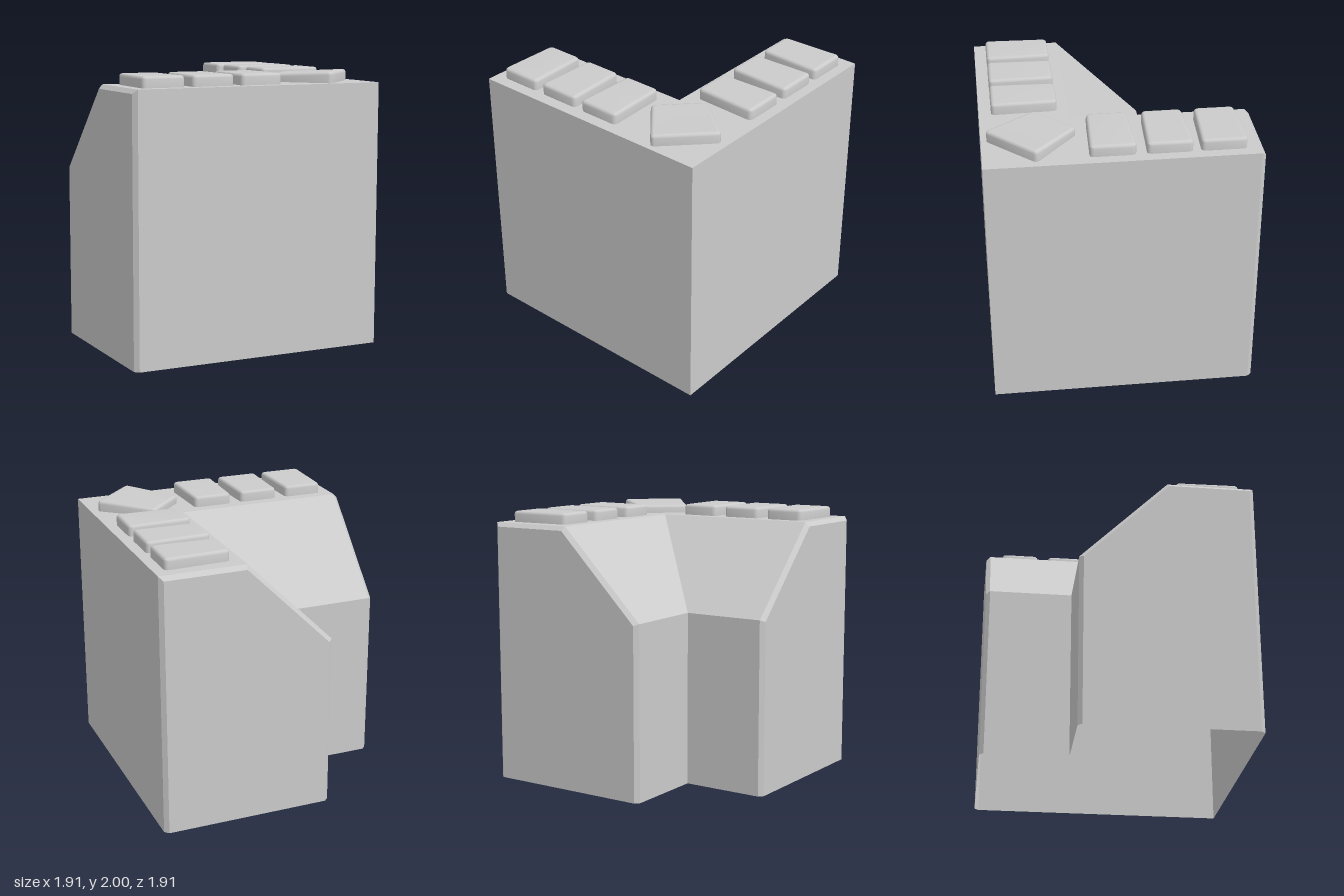
import * as THREE from 'three';
import { toCreasedNormals } from 'three/addons/utils/BufferGeometryUtils.js';

const TOP = 1.92;    // wall top
const OUT = 0.955;   // outer faces and arm ends
const IN = 0.32;     // inner edge of the top / foot of the slope
const BEVEL = 0.03;  // chamfer around the arm ends

// Skin a surface over rings of [x, y, z] points, optionally closing each ring and capping its ends
function skin(rings, { closed = false, capFirst = false, capLast = true, crease = 0.3 } = {}) {
  const pos = [];
  const tri = (...points) => points.forEach((p) => pos.push(...p));
  const n = rings[0].length;
  for (let r = 0; r < rings.length - 1; r++) {
    for (let i = 0; i < (closed ? n : n - 1); i++) {
      const j = (i + 1) % n;
      const a = rings[r][i], b = rings[r][j], c = rings[r + 1][i], d = rings[r + 1][j];
      tri(a, c, b);
      tri(b, c, d);
    }
  }
  const first = rings[0], last = rings[rings.length - 1];
  for (let i = 1; i < n - 1; i++) {
    if (capFirst) tri(first[0], first[i], first[i + 1]);
    if (capLast) tri(last[0], last[i + 1], last[i]);
  }
  const geometry = new THREE.BufferGeometry();
  geometry.setAttribute('position', new THREE.Float32BufferAttribute(pos, 3));
  return toCreasedNormals(geometry, crease);
}

// Hollow corner wall, open below: one profile swept along both arms with a mitre at the corner
function wallGeometry() {
  const low = TOP - 2 * IN;
  const shift = BEVEL * Math.tan(Math.PI / 8);
  const full = [[OUT, 0], [OUT, TOP], [IN, TOP], [-IN, low], [-IN, 0]];
  const inset = [
    [OUT - BEVEL, 0], [OUT - BEVEL, TOP - BEVEL], [IN + shift, TOP - BEVEL],
    [-IN + BEVEL, low - shift], [-IN + BEVEL, 0],
  ];
  const alongX = (profile, x) => profile.map(([d, y]) => [x, y, d]);
  const alongZ = (profile, z) => profile.map(([d, y]) => [d, y, z]);
  return skin([
    alongX(inset, -OUT),
    alongX(full, -OUT + BEVEL),
    full.map(([d, y]) => [d, y, d]),
    alongZ(full, -OUT + BEVEL),
    alongZ(inset, -OUT),
  ], { capFirst: true });
}

// Cushioned stone on a four-cornered plan (x, z clockwise from above) with a top height per corner
function stoneGeometry(corners, tops) {
  const R = 0.03, soft = 0.022, steps = 3;
  const pts = corners.map(([x, z]) => new THREE.Vector2(x, z));
  const ring = (insetBy, height) => pts.flatMap((c, k) => {
    const u = pts[(k + 3) % 4].clone().sub(c).normalize();
    const v = pts[(k + 1) % 4].clone().sub(c).normalize();
    return Array.from({ length: steps + 1 }, (_, s) => {
      const t = (s / steps) * Math.PI / 2;
      const p = c.clone().addScaledVector(u, R).addScaledVector(v, R)
        .addScaledVector(v, -(R - insetBy) * Math.cos(t))
        .addScaledVector(u, -(R - insetBy) * Math.sin(t));
      return [p.x, height(tops[k]), p.y];
    });
  });
  const rings = [ring(0, () => TOP)];
  for (let s = 0; s <= steps; s++) {
    const t = (s / steps) * Math.PI / 2;
    rings.push(ring(soft * (1 - Math.cos(t)), (top) => top - soft * (1 - Math.sin(t))));
  }
  rings.push(ring(0.028, (top) => top));
  return skin(rings, { closed: true, crease: 0.6 });
}

export function createModel() {
  const group = new THREE.Group();
  const material = new THREE.MeshStandardMaterial({ color: 0xcccccc, side: THREE.DoubleSide });
  const add = (name, geometry) => {
    const mesh = new THREE.Mesh(geometry, material);
    mesh.name = name;
    group.add(mesh);
  };

  add('cornerWall', wallGeometry());

  // Rows of slightly flared stones: [inner start, inner end, outer start, outer end]
  const level = [2, 2, 2, 2];
  const frontRow = [[-0.838, -0.55, -0.852, -0.536], [-0.466, -0.177, -0.48, -0.163], [-0.092, 0.196, -0.106, 0.21]];
  const sideRow = [[-0.823, -0.54, -0.84, -0.522], [-0.452, -0.17, -0.47, -0.153], [-0.066, 0.217, -0.083, 0.236]];
  frontRow.forEach(([a, b, c, d], i) =>
    add(`frontStone${i + 1}`, stoneGeometry([[a, 0.4], [b, 0.4], [d, 0.867], [c, 0.867]], level)));
  sideRow.forEach(([a, b, c, d], i) =>
    add(`sideStone${i + 1}`, stoneGeometry([[0.404, a], [0.876, c], [0.876, d], [0.404, b]], level)));

  // Turned corner stone, sloping down towards the inside
  add('cornerStone', stoneGeometry(
    [[0.552, 0.293], [0.908, 0.592], [0.575, 0.927], [0.275, 0.572]],
    [1.98, 2, 2, 1.98]));

  return group;
}
